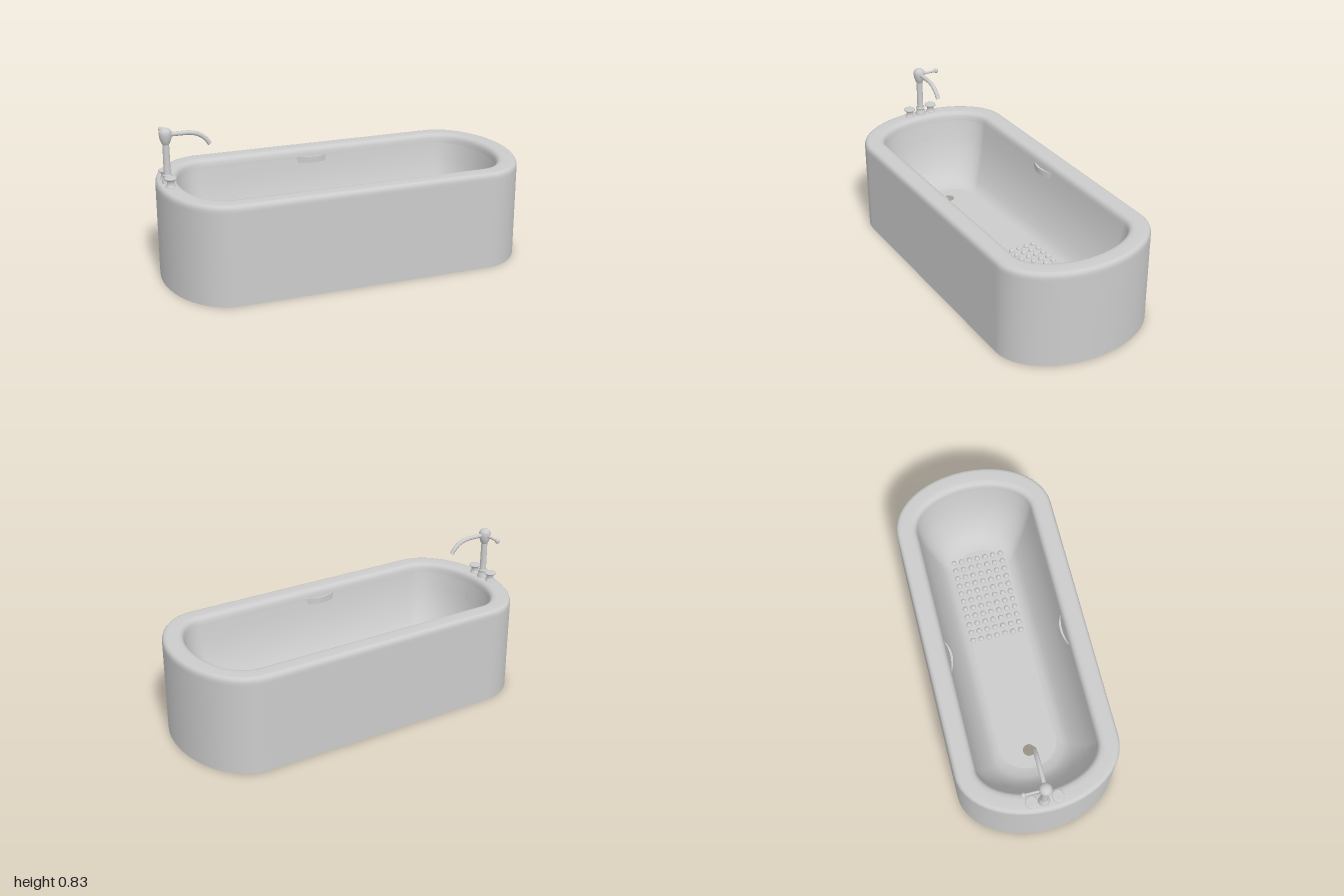
import * as THREE from 'three';

const material = new THREE.MeshStandardMaterial({ color: 0xcccccc, side: THREE.DoubleSide });

function add(parent, name, geometry, x = 0, y = 0, z = 0) {
  const mesh = new THREE.Mesh(geometry, material);
  mesh.name = name;
  mesh.position.set(x, y, z);
  parent.add(mesh);
  return mesh;
}

// Oval outline: straight sides of half length c, closed by half ellipses
const ARC = 24;
function oval(hx, hz, c) {
  const points = [];
  for (const side of [1, -1]) {
    for (let i = 0; i <= ARC; i++) {
      const a = (i / ARC - 0.5) * Math.PI;
      points.push([side * (c + (hx - c) * Math.cos(a)), side * hz * Math.sin(a)]);
    }
  }
  return points;
}

// Skin through a stack of ovals given as [y, hx, hz, c]
function loft(levels) {
  const positions = [], index = [], n = 2 * (ARC + 1);
  levels.forEach(([y, hx, hz, c], i) => {
    for (const [x, z] of oval(hx, hz, c)) positions.push(x, y, z);
    if (i === 0) return;
    for (let j = 0; j < n; j++) {
      const a = (i - 1) * n + j, b = (i - 1) * n + (j + 1) % n;
      index.push(a, a + n, b, b, a + n, b + n);
    }
  });
  const geometry = new THREE.BufferGeometry();
  geometry.setAttribute('position', new THREE.Float32BufferAttribute(positions, 3));
  geometry.setIndex(index);
  geometry.computeVertexNormals();
  return geometry;
}

function lathe(profile, segments = 24) {
  return new THREE.LatheGeometry(profile.map(([r, y]) => new THREE.Vector2(r, y)), segments);
}

const FLOOR = 0.14;

function createTub() {
  const tub = new THREE.Group();
  tub.name = 'tub';

  // Outer skirt, open below, rolling over the rim
  add(tub, 'skirtAndRim', loft([
    [0, 1, 0.44, 0.7], [0.5, 1, 0.44, 0.7], [0.516, 1, 0.44, 0.7], [0.528, 0.996, 0.436, 0.7],
    [0.537, 0.988, 0.428, 0.7], [0.54, 0.975, 0.416, 0.7], [0.54, 0.925, 0.365, 0.695],
    [0.538, 0.908, 0.348, 0.69], [0.53, 0.895, 0.335, 0.69], [0.515, 0.888, 0.327, 0.69],
    [0.49, 0.885, 0.324, 0.69],
  ]));

  // Basin walls
  add(tub, 'basinWall', loft([
    [0.49, 0.885, 0.324, 0.69], [0.4, 0.868, 0.31, 0.68], [0.31, 0.842, 0.285, 0.66],
    [0.235, 0.805, 0.252, 0.63], [0.18, 0.765, 0.22, 0.6], [0.15, 0.72, 0.19, 0.57],
    [FLOOR, 0.67, 0.16, 0.54],
  ]));

  // Floor with an open drain
  const floor = new THREE.Shape(oval(0.67, 0.16, 0.54).map(([x, z]) => new THREE.Vector2(x, z)));
  floor.holes.push(new THREE.Path().absarc(-0.57, 0, 0.033, 0, Math.PI * 2, true));
  add(tub, 'basinFloor', new THREE.ShapeGeometry(floor, 24).rotateX(-Math.PI / 2), 0, FLOOR, 0);

  // Overflow opening on the tap end wall
  const overflow = add(tub, 'overflow', new THREE.CircleGeometry(0.034, 24), -0.867, 0.42, 0);
  overflow.rotation.set(0, Math.PI / 2, 0);
  overflow.rotateX(-0.2);

  // Crescent grips on both long walls
  const crescent = new THREE.Shape();
  crescent.moveTo(-0.095, 0);
  crescent.quadraticCurveTo(0, 0.06, 0.095, 0);
  crescent.quadraticCurveTo(0, 0.036, -0.095, 0);
  for (const side of [1, -1]) {
    const grip = new THREE.ExtrudeGeometry(crescent, { depth: 0.035, bevelEnabled: false, curveSegments: 16 });
    grip.rotateX(side * Math.PI / 2);
    add(tub, side > 0 ? 'gripBack' : 'gripFront', grip, -0.052, side > 0 ? 0.495 : 0.46, -side * 0.328);
  }

  // Non-slip bumps
  const bumps = new THREE.Group();
  bumps.name = 'nonSlipBumps';
  const dome = new THREE.SphereGeometry(0.016, 12, 6, 0, Math.PI * 2, 0, Math.PI / 2);
  for (let i = 0; i < 11; i++) {
    for (let j = 0; j < 7; j++) add(bumps, 'bump', dome, 0.13 + i * 0.0493, FLOOR, -0.15 + j * 0.0467);
  }
  tub.add(bumps);
  return tub;
}

function createTap() {
  const tap = new THREE.Group();
  tap.name = 'tap';
  tap.position.set(-0.942, 0.54, -0.024);

  // Flared foot, post and egg-shaped head
  add(tap, 'post', lathe([
    [0.031, 0], [0.03, 0.006], [0.024, 0.025], [0.021, 0.032], [0.025, 0.036], [0.026, 0.04],
    [0.024, 0.046], [0.018, 0.048], [0.018, 0.12], [0.017, 0.225],
  ]));
  add(tap, 'head', lathe([
    [0.017, 0.205], [0.023, 0.215], [0.03, 0.235], [0.033, 0.255], [0.033, 0.27],
    [0.029, 0.28], [0.02, 0.288], [0.01, 0.292], [0, 0.293],
  ]));

  // Spout curving down over the basin
  const path = new THREE.CatmullRomCurve3([
    [0.02, 0.257], [0.07, 0.257], [0.13, 0.255], [0.175, 0.242], [0.21, 0.215], [0.23, 0.186],
  ].map(([x, y]) => new THREE.Vector3(x, y, 0)));
  add(tap, 'spout', new THREE.TubeGeometry(path, 24, 0.012, 14));

  // Side lever with a ball end
  add(tap, 'lever', new THREE.CylinderGeometry(0.007, 0.007, 0.085, 12).rotateX(Math.PI / 2), 0, 0.255, -0.065);
  add(tap, 'leverBall', new THREE.SphereGeometry(0.014, 16, 12), 0, 0.255, -0.113);

  // Valve knobs either side of the post
  const knob = lathe([
    [0.027, 0], [0.027, 0.004], [0.021, 0.009], [0.019, 0.02], [0.02, 0.032], [0.025, 0.038],
    [0.032, 0.041], [0.033, 0.045], [0.031, 0.049], [0.024, 0.05], [0, 0.049],
  ]);
  for (const z of [0.073, -0.067]) add(tap, z > 0 ? 'knobFront' : 'knobBack', knob, 0, 0, z);
  return tap;
}

export function createModel() {
  const model = new THREE.Group();
  model.name = 'bathtub';
  model.add(createTub(), createTap());
  return model;
}
